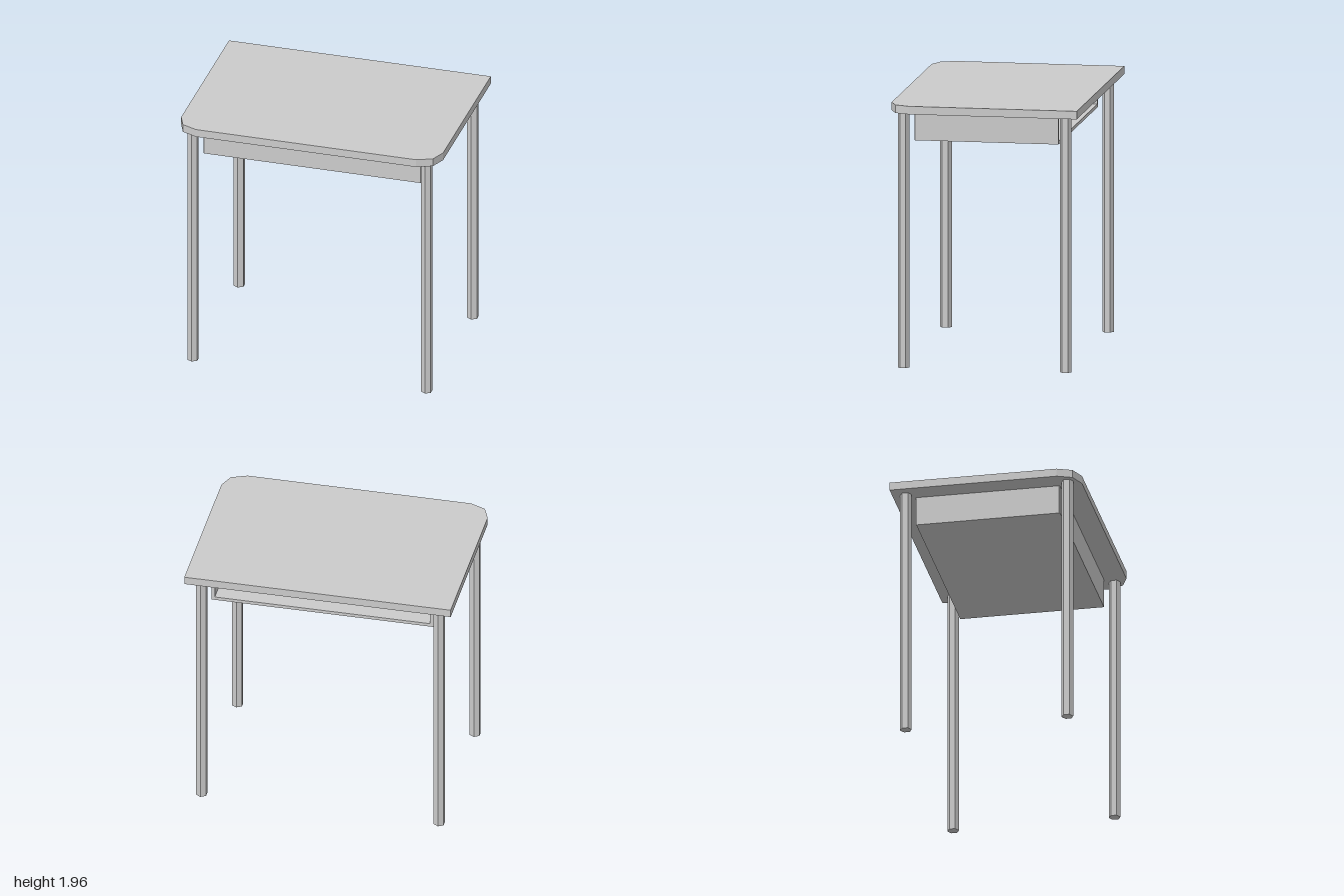
import * as THREE from 'three';

const material = new THREE.MeshStandardMaterial({ color: 0xcccccc, flatShading: true });

// Upright slab from a plan outline of [x, z] points, between two heights
function slab(name, plan, bottom, top) {
  const shape = new THREE.Shape(plan.map(([x, z]) => new THREE.Vector2(x, -z)));
  const geometry = new THREE.ExtrudeGeometry(shape, { depth: top - bottom, bevelEnabled: false });
  geometry.rotateX(-Math.PI / 2).translate(0, bottom, 0);
  const mesh = new THREE.Mesh(geometry, material);
  mesh.name = name;
  return mesh;
}

// Completes a right-hand (+x) outline with its mirror image
const mirrored = (half) => [...half, ...half.map(([x, z]) => [-x, z]).reverse()];

function rectangle(path, x, y0, y1) {
  path.moveTo(-x, y0);
  path.lineTo(x, y0);
  path.lineTo(x, y1);
  path.lineTo(-x, y1);
  path.closePath();
  return path;
}

export function createModel() {
  const desk = new THREE.Group();
  desk.name = 'schoolDesk';

  const topBottom = 1.9, topHeight = 1.96;

  // Tabletop: square back corners, faceted round front corners
  desk.add(slab('tabletop',
    mirrored([[1, -0.703], [1, 0.545], [0.955, 0.655], [0.84, 0.703]]),
    topBottom, topHeight));

  // Book compartment: a sleeve open at the back, closed by a front panel
  const compartment = new THREE.Group();
  compartment.name = 'bookCompartment';
  const halfWidth = 0.833, floor = 1.68, halfDepth = 0.537, wall = 0.025;

  const section = rectangle(new THREE.Shape(), halfWidth, floor, topBottom);
  section.holes.push(rectangle(new THREE.Path(), halfWidth - wall, floor + wall, topBottom - wall));
  const sleeve = new THREE.Mesh(
    new THREE.ExtrudeGeometry(section, { depth: 2 * halfDepth - wall, bevelEnabled: false }), material);
  sleeve.name = 'compartmentSleeve';
  sleeve.position.z = -halfDepth;
  compartment.add(sleeve);

  // Front panel with slightly chamfered upright edges
  const chamfer = 0.007;
  compartment.add(slab('compartmentFront', mirrored([
    [halfWidth, halfDepth - wall],
    [halfWidth, halfDepth - chamfer],
    [halfWidth - chamfer, halfDepth],
  ]), floor, topBottom));
  desk.add(compartment);

  // Four hexagonal legs
  const legGeometry = new THREE.CylinderGeometry(0.0433, 0.0433, topBottom, 6);
  for (const [end, z] of [['front', 0.605], ['back', -0.602]]) {
    for (const [side, x] of [['Left', 0.892], ['Right', -0.892]]) {
      const leg = new THREE.Mesh(legGeometry, material);
      leg.name = `${end}${side}Leg`;
      leg.position.set(x, topBottom / 2, z);
      desk.add(leg);
    }
  }
  return desk;
}
